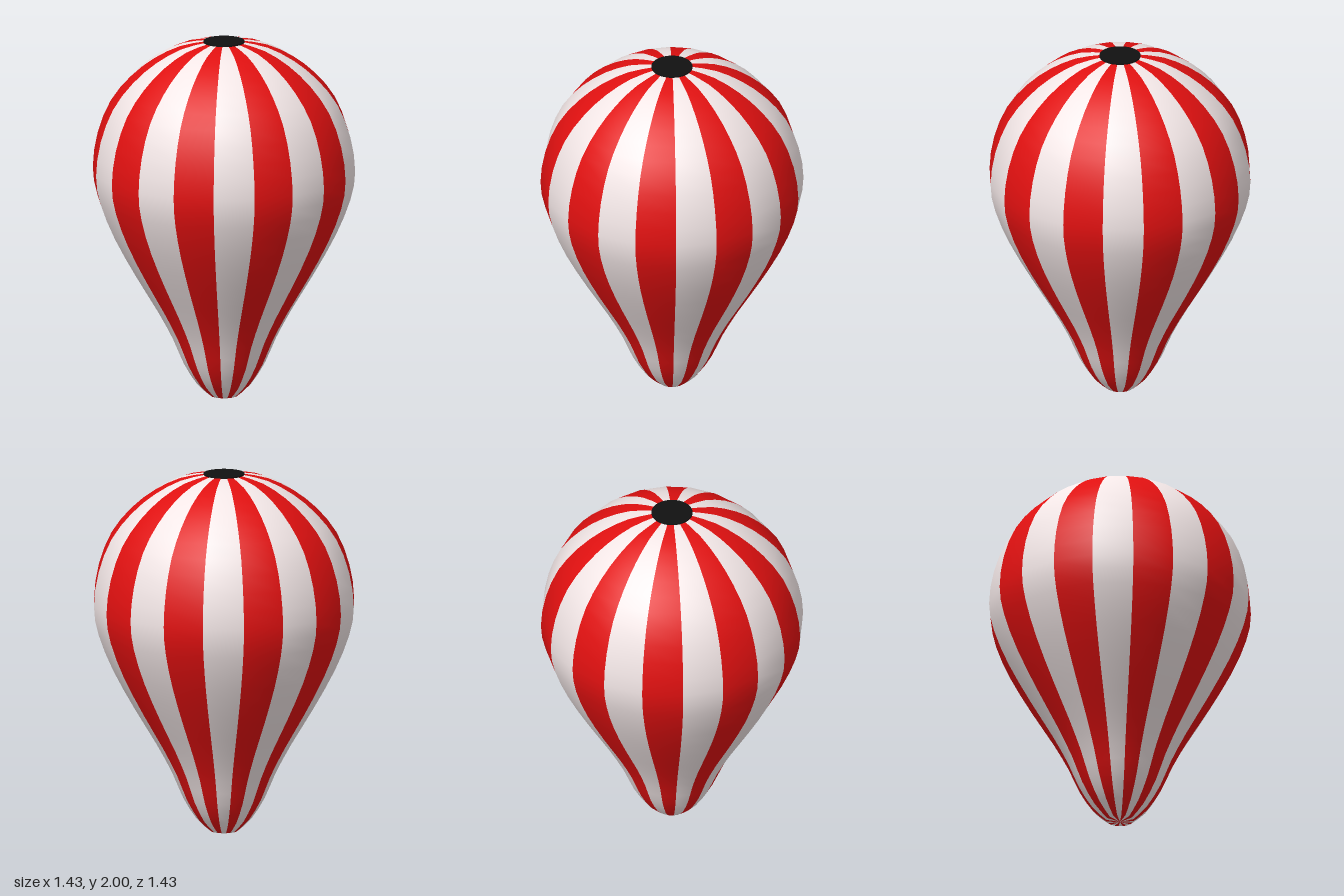
import * as THREE from 'three';

export function createModel() {
  const balloon = new THREE.Group();
  balloon.name = 'balloon';

  // Envelope profile (radius, height), from the mouth up to the crown
  const knots = [
    [0.075, 0.01], [0.15, 0.08], [0.225, 0.2], [0.285, 0.34], [0.37, 0.5],
    [0.49, 0.7], [0.61, 0.92], [0.69, 1.12], [0.716, 1.28], [0.69, 1.47],
    [0.62, 1.65], [0.51, 1.79], [0.38, 1.895], [0.24, 1.965], [0.11, 1.993],
  ].map(([r, y]) => new THREE.Vector2(r, y));
  const profile = [
    new THREE.Vector2(0, 0),
    ...new THREE.SplineCurve(knots).getPoints(28),
    new THREE.Vector2(0, 1.996),
  ];

  const white = new THREE.MeshStandardMaterial({ color: 0xf2e6e6, side: THREE.DoubleSide });
  const red = new THREE.MeshStandardMaterial({ color: 0xe01010, side: THREE.DoubleSide });
  const black = new THREE.MeshStandardMaterial({ color: 0x111111 });

  // Twenty flat gores in alternating colours
  const gores = 20;
  const step = (Math.PI * 2) / gores;
  for (let i = 0; i < gores; i++) {
    const gore = new THREE.Mesh(
      new THREE.LatheGeometry(profile, 1, i * step, step),
      i % 2 ? red : white,
    );
    gore.name = `${i % 2 ? 'red' : 'white'}Gore${i + 1}`;
    balloon.add(gore);
  }

  // Round vent cap on the crown
  const cap = new THREE.Mesh(new THREE.CylinderGeometry(0.112, 0.112, 0.012, 40), black);
  cap.name = 'crownCap';
  cap.position.y = 1.994;
  balloon.add(cap);

  return balloon;
}
